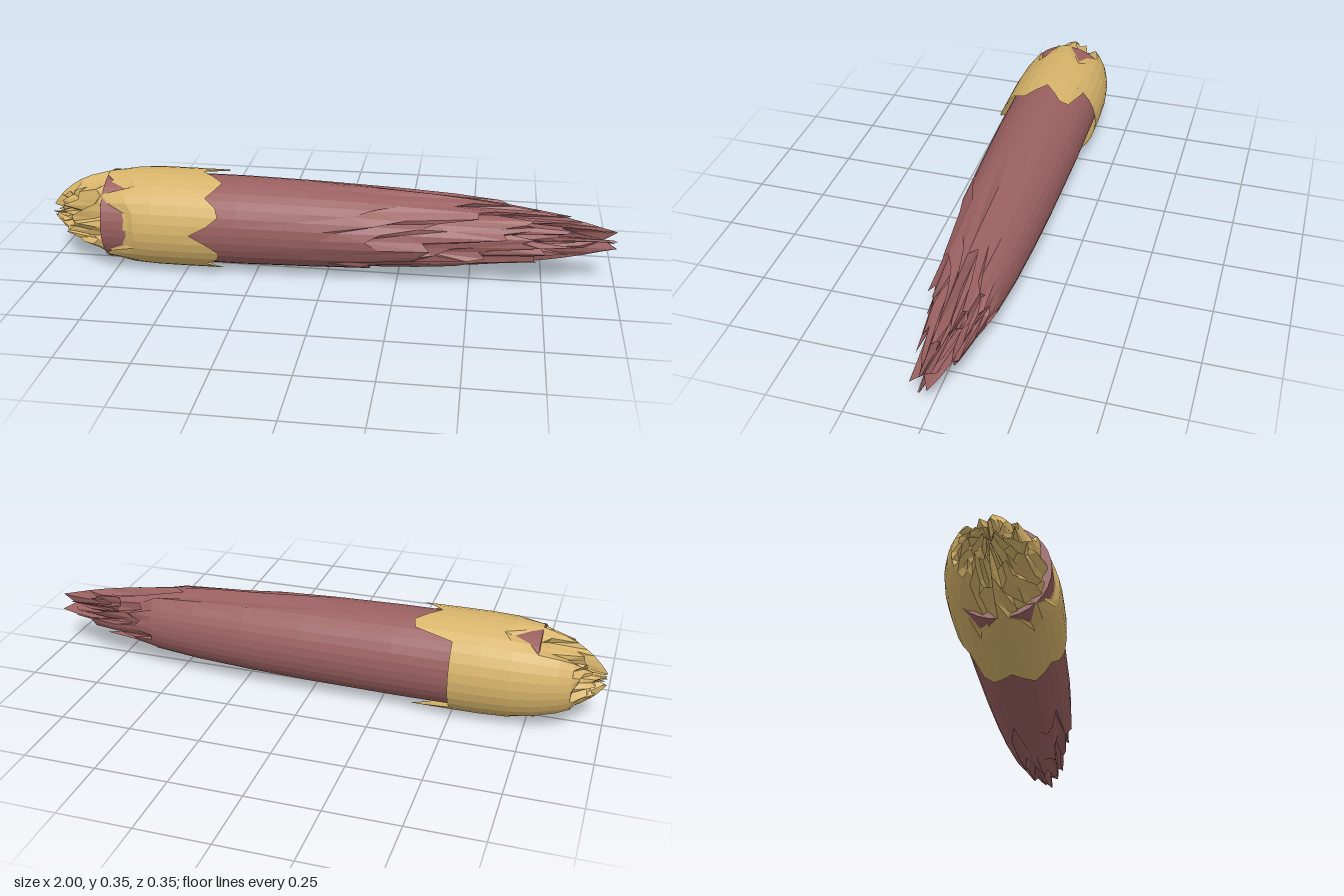
import * as THREE from 'three';

const SIDES = 32;
const CENTRE_Y = 0.175;

// Small seeded generator for the ragged ends
function seeded(seed) {
  let s = seed;
  return () => {
    s = (s * 16807) % 2147483647;
    return s / 2147483647;
  };
}

// Column distance from the front: 0 = front, 8 = top or bottom, 16 = back
const fromFront = (k) => Math.min(k, SIDES - k);

// Surface round the x axis from [x, radius] rings; slide() moves each vertex along x
function raggedLathe(rings, slide) {
  const positions = [];
  const index = [];
  rings.forEach(([x, r], j) => {
    for (let k = 0; k < SIDES; k++) {
      const a = (k / SIDES) * Math.PI * 2;
      const dx = r === 0 ? 0 : slide(j, k);
      positions.push(x + dx, CENTRE_Y + r * Math.sin(a), r * Math.cos(a));
    }
  });
  for (let j = 0; j < rings.length - 1; j++) {
    for (let k = 0; k < SIDES; k++) {
      const a = j * SIDES + k;
      const b = j * SIDES + ((k + 1) % SIDES);
      const c = a + SIDES;
      const d = b + SIDES;
      if (rings[j][1] > 0) index.push(a, d, b);
      if (rings[j + 1][1] > 0) index.push(a, c, d);
      else if (rings[j][1] > 0) index.splice(-3, 3, a, c, b);
    }
  }
  const indexed = new THREE.BufferGeometry();
  indexed.setAttribute('position', new THREE.Float32BufferAttribute(positions, 3));
  indexed.setIndex(index);
  const geometry = indexed.toNonIndexed();
  geometry.computeVertexNormals();
  return geometry;
}

function part(name, geometry, color) {
  const material = new THREE.MeshStandardMaterial({ color, flatShading: true, side: THREE.DoubleSide });
  const mesh = new THREE.Mesh(geometry, material);
  mesh.name = name;
  return mesh;
}

// Long tapering body, splintered towards the tip, mostly on the front side
function createBody() {
  const rand = seeded(71);
  const rings = [
    [-0.78, 0], [-0.78, 0.157], [-0.3, 0.157], [0, 0.152], [0.2, 0.145], [0.37, 0.135],
    [0.53, 0.12], [0.64, 0.105], [0.74, 0.09], [0.82, 0.075], [0.885, 0.06],
    [0.94, 0.045], [0.995, 0.03], [0.95, 0],
  ];
  const slide = (j, k) => {
    const noise = rand();
    const f = fromFront(k);
    if (j < 3 || f === 8) return 0;
    const grow = Math.min(1, (j - 2) / 3);
    if (f < 8) return -0.32 * noise * grow;
    // The back stays smooth until close to the tip
    const late = THREE.MathUtils.clamp((j - 6) / 2, 0, 1);
    return (f > 10 ? 0.06 * grow * (j < 10 ? 1 : 0) : 0) - 0.24 * noise * (f < 11 ? grow : late);
  };
  return part('body', raggedLathe(rings, slide), 0x9a6060);
}

// Open rounded cap with a zigzag rim and a chipped end
function createCap() {
  const rand = seeded(29);
  const rings = [
    [-0.94, 0], [-1, 0.02], [-0.99, 0.035], [-0.97, 0.06], [-0.95, 0.08], [-0.925, 0.1],
    [-0.895, 0.12], [-0.85, 0.14], [-0.78, 0.16], [-0.7, 0.171], [-0.6, 0.175], [-0.5, 0.175],
    [-0.5, 0.174],
  ];
  const rim = [-0.46, -0.4, -0.36, -0.37, -0.41, -0.38, -0.36, -0.4, -0.44, -0.4, -0.36, -0.37];
  const chips = [0.1, 0.1, 0.09, 0.03, 0, 0.09, 0.03, 0, 0, 0.05, 0.1, 0.03];
  const last = rings.length - 1;
  const slide = (j, k) => {
    const noise = rand();
    const f = fromFront(k);
    if (j === last) return (rim[f] ?? -0.5) + 0.5;
    if (j > 9) return 0;
    if (j > 7) return (chips[f] ?? 0) * (j === 8 ? 1 : 0.4);
    if (f === 8) return 0;
    return noise * (f < 12 ? 0.11 : j < 6 ? 0.05 : 0);
  };
  return part('cap', raggedLathe(rings, slide), 0xd6b36a);
}

export function createModel() {
  const model = new THREE.Group();
  model.name = 'splinteredRod';
  model.add(createBody(), createCap());
  return model;
}
